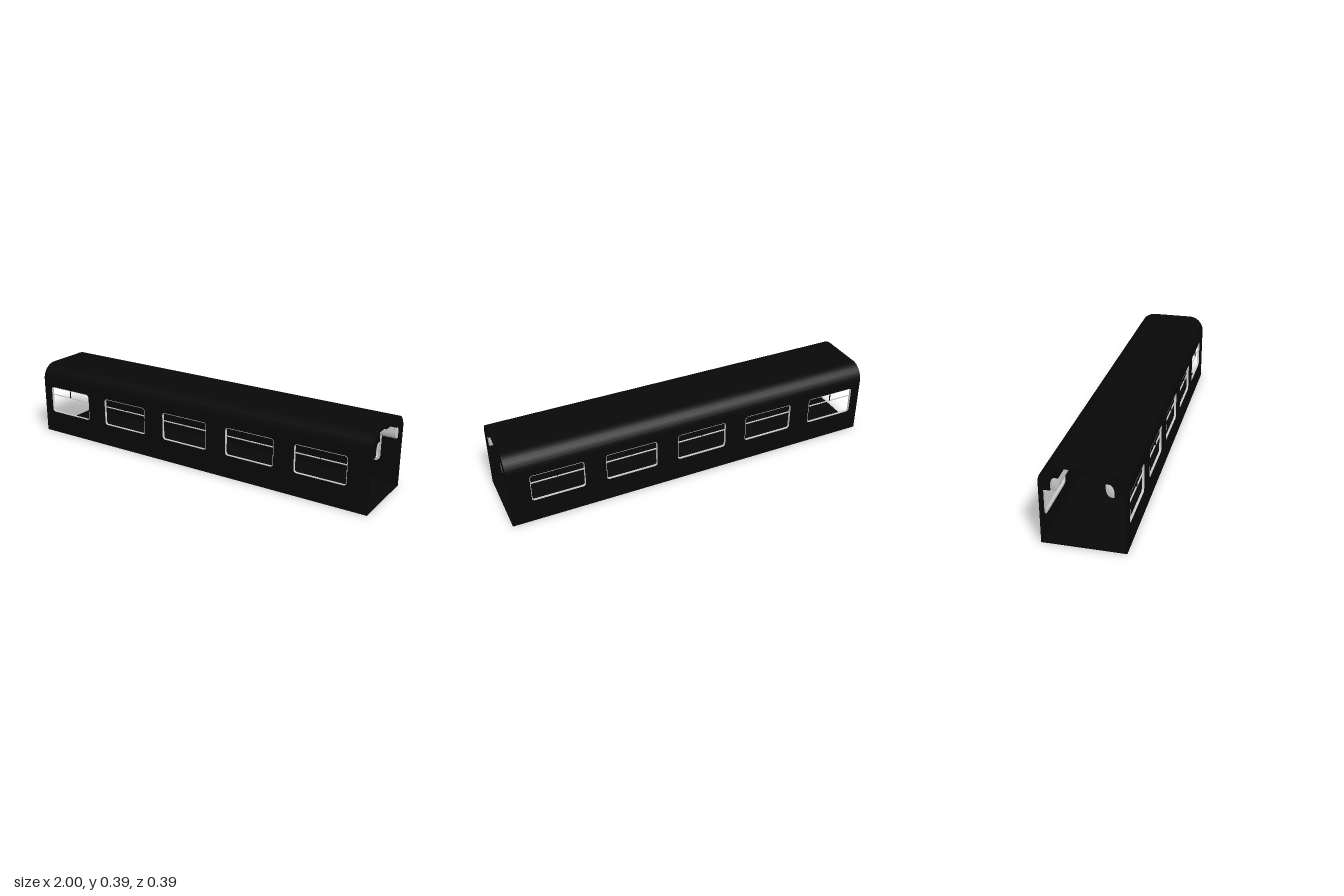
import * as THREE from 'three';
import { toCreasedNormals } from 'three/addons/utils/BufferGeometryUtils.js';

const black = new THREE.MeshStandardMaterial({ color: 0x080808 });
const grey = new THREE.MeshStandardMaterial({ color: 0xcccccc });

const HALF = 0.196, WALL = 0.007, TOP = 0.393, EAVE = 0.308, RADIUS = TOP - EAVE;
const WINDOWS = [-0.81, -0.418, -0.025, 0.365, 0.752];
const WIN_W = 0.276, WIN_LOW = 0.122, WIN_HIGH = 0.272;

export function createModel() {
  const group = new THREE.Group();
  const add = (name, geometry, material, parent = group) => {
    const mesh = new THREE.Mesh(geometry, material);
    mesh.name = name;
    parent.add(mesh);
    return mesh;
  };

  // Sweeps a (z, y) profile along the carriage
  const sweep = (shape, length, bevel = 0) => {
    const g = new THREE.ExtrudeGeometry(shape, {
      depth: length - 2 * bevel, curveSegments: 16, bevelEnabled: bevel > 0,
      bevelSize: bevel, bevelThickness: bevel, bevelOffset: -bevel, bevelSegments: 5,
    });
    g.translate(0, 0, -length / 2 + bevel);
    g.rotateY(Math.PI / 2);
    return toCreasedNormals(g, 0.6);
  };

  // Rounded rectangle outline, used for openings and frames
  const roundedRect = (path, x, low, w, high, r) => {
    const a = x - w / 2, b = x + w / 2;
    path.moveTo(a + r, low);
    path.lineTo(b - r, low);
    path.absarc(b - r, low + r, r, -Math.PI / 2, 0);
    path.absarc(b - r, high - r, r, 0, Math.PI / 2);
    path.absarc(a + r, high - r, r, Math.PI / 2, Math.PI);
    path.absarc(a + r, low + r, r, Math.PI, Math.PI * 1.5);
    return path;
  };
  const ring = (grow, inset, depth) => {
    const outer = roundedRect(new THREE.Shape(), 0, WIN_LOW - grow, WIN_W + 2 * grow, WIN_HIGH + grow, 0.016 + grow);
    outer.holes.push(roundedRect(new THREE.Path(), 0, WIN_LOW + inset, WIN_W - 2 * inset, WIN_HIGH - inset, 0.016 - inset));
    const g = new THREE.ExtrudeGeometry(outer, { depth, bevelEnabled: false, curveSegments: 6 });
    return toCreasedNormals(g, 0.6);
  };

  // Floor
  const floor = add('floor', new THREE.BoxGeometry(2, 0.009, 2 * (HALF - WALL)), black);
  floor.position.y = 0.0045;

  // Roof shell with rounded shoulders
  const roof = new THREE.Shape();
  const flat = HALF - RADIUS, inner = RADIUS - WALL;
  roof.moveTo(HALF, EAVE);
  roof.absarc(flat, EAVE, RADIUS, 0, Math.PI / 2);
  roof.absarc(-flat, EAVE, RADIUS, Math.PI / 2, Math.PI);
  roof.lineTo(-HALF + WALL, EAVE);
  roof.absarc(-flat, EAVE, inner, Math.PI, Math.PI / 2, true);
  roof.absarc(flat, EAVE, inner, Math.PI / 2, 0, true);
  roof.closePath();
  add('roof', sweep(roof, 2), black);

  // Ceiling light strip
  const lamp = new THREE.Shape([
    [-0.038, 0.387], [-0.038, 0.379], [-0.027, 0.373], [0.027, 0.373], [0.038, 0.379], [0.038, 0.387],
  ].map(([x, y]) => new THREE.Vector2(x, y)));
  add('ceilingLight', sweep(lamp, 2), black);

  // Side wall with window openings
  const wall = new THREE.Shape();
  wall.moveTo(-1, 0);
  wall.lineTo(1, 0);
  wall.lineTo(1, EAVE);
  wall.lineTo(-1, EAVE);
  wall.closePath();
  for (const x of WINDOWS)
    wall.holes.push(roundedRect(new THREE.Path(), x, WIN_LOW, WIN_W, WIN_HIGH, 0.016));
  const wallGeometry = new THREE.ExtrudeGeometry(wall, { depth: WALL, bevelEnabled: false, curveSegments: 6 });

  const lining = ring(0, 0.003, WALL);
  const flange = ring(0.009, 0.003, 0.004);
  const barGeometry = new THREE.BoxGeometry(WIN_W - 0.004, 0.004, 0.006);
  const postGeometry = new THREE.BoxGeometry(0.003, WIN_HIGH - 0.229, 0.006);

  for (const s of [1, -1]) {
    const side = s > 0 ? 'front' : 'back';
    const wallMesh = add(side + 'Wall', wallGeometry, black);
    wallMesh.position.z = s > 0 ? HALF - WALL : -HALF;

    // Window frames: lining, inner flange, transom bar and short post
    for (const x of WINDOWS) {
      const frame = new THREE.Group();
      frame.name = side + 'WindowFrame';
      frame.position.x = x;
      group.add(frame);
      add('frameLining', lining, grey, frame).position.z = wallMesh.position.z;
      add('frameFlange', flange, grey, frame).position.z = s > 0 ? HALF - WALL - 0.004 : -HALF + WALL;
      add('transom', barGeometry, grey, frame).position.set(0, 0.227, s * 0.192);
      add('post', postGeometry, black, frame).position.set(0, (0.229 + WIN_HIGH) / 2, s * 0.192);
    }

    // Overhead luggage rack body
    const rack = new THREE.Shape();
    rack.moveTo(s * 0.19, 0.273);
    rack.lineTo(s * 0.19, EAVE);
    rack.quadraticCurveTo(s * 0.186, 0.378, s * flat, 0.387);
    rack.lineTo(s * 0.103, 0.338);
    rack.lineTo(s * 0.122, 0.338);
    rack.quadraticCurveTo(s * 0.142, 0.33, s * 0.142, 0.295);
    rack.lineTo(s * 0.142, 0.273);
    rack.closePath();
    add(side + 'LuggageRack', sweep(rack, 2), black);

    // Rounded rack door along the aisle
    const door = new THREE.Shape();
    door.moveTo(s * 0.142, 0.273);
    door.lineTo(s * 0.142, 0.295);
    door.quadraticCurveTo(s * 0.142, 0.33, s * 0.122, 0.338);
    door.lineTo(s * 0.103, 0.338);
    door.lineTo(s * 0.103, 0.312);
    door.quadraticCurveTo(s * 0.105, 0.275, s * 0.131, 0.273);
    door.closePath();
    add(side + 'RackDoor', sweep(door, 1.996, 0.004), grey);
  }
  return group;
}
